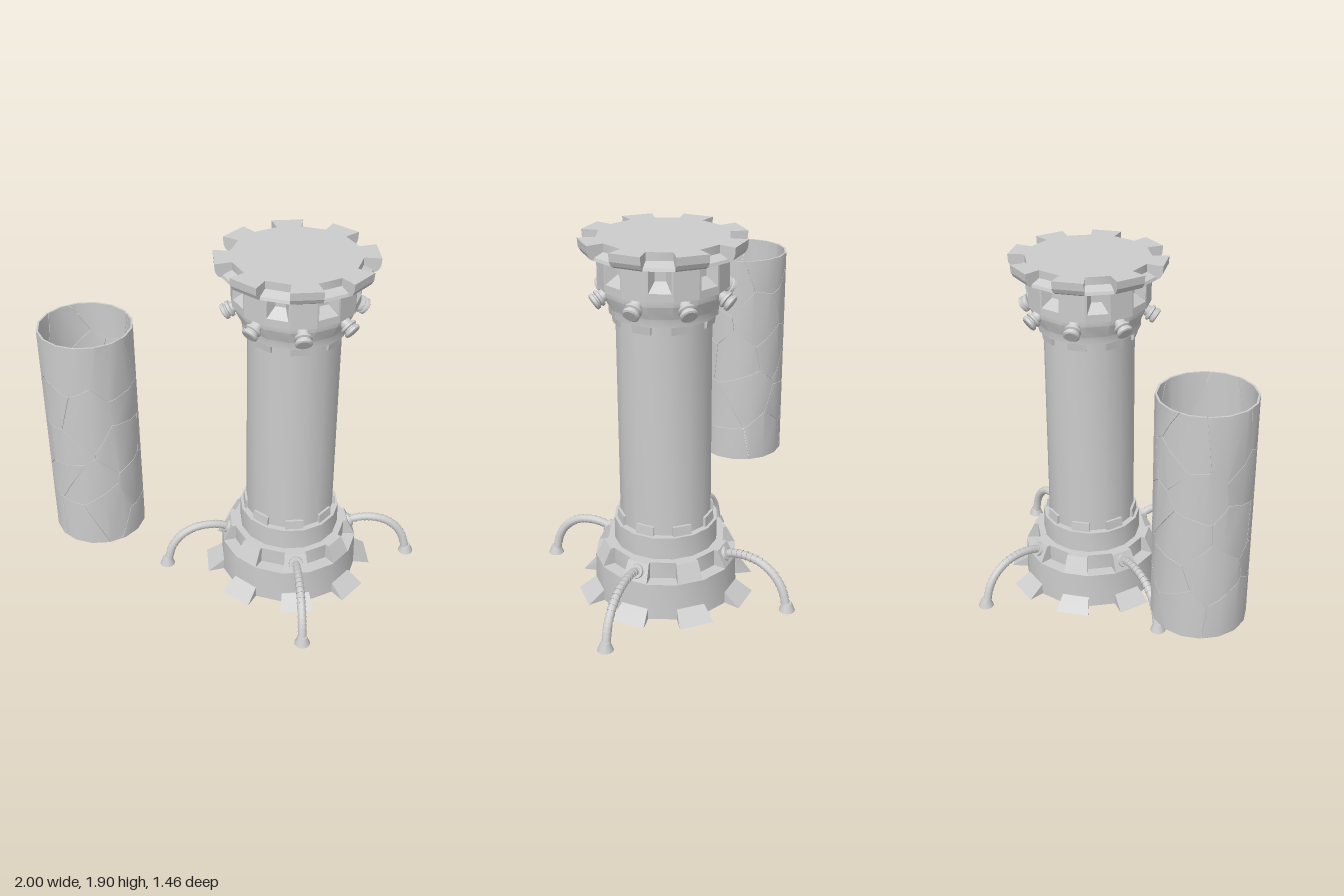
import * as THREE from 'three';
import { toCreasedNormals, mergeGeometries } from 'three/addons/utils/BufferGeometryUtils.js';

const SIDES = 16, STEP = Math.PI * 2 / SIDES, TAN = Math.tan(STEP / 2), COS = Math.cos(STEP / 2);
const mat = new THREE.MeshStandardMaterial({ color: 0xcccccc });
const matDouble = new THREE.MeshStandardMaterial({ color: 0xcccccc, side: THREE.DoubleSide });

function add(parent, name, geo, material = mat) {
  const mesh = new THREE.Mesh(geo, material);
  mesh.name = name;
  parent.add(mesh);
  return mesh;
}

// 16-sided turned body; radii are measured to the middle of the flats
function turned(points) {
  const pts = points.map(([r, y]) => new THREE.Vector2(r / COS, y));
  return toCreasedNormals(new THREE.LatheGeometry(pts, SIDES, STEP / 2), 0.5);
}

// Block with a radius/height profile whose width grows with the radius
function wedge(profile, ratio = TAN) {
  const shape = new THREE.Shape(profile.map(p => new THREE.Vector2(p[0], p[1])));
  const geo = new THREE.ExtrudeGeometry(shape, { depth: 2, bevelEnabled: false }).translate(0, 0, -1);
  const p = geo.attributes.position;
  for (let i = 0; i < p.count; i++) p.setZ(i, p.getZ(i) * p.getX(i) * ratio);
  geo.computeVertexNormals();
  return geo;
}

// Outward panel of nested rectangles [radius, halfWidth, bottom, top], closed at the last
function panel(rects) {
  const v = [];
  const rings = rects.map(([r, w, a, b]) => [[r, a, w], [r, a, -w], [r, b, -w], [r, b, w]]);
  const quad = (a, b, c, d) => v.push(...a, ...b, ...c, ...a, ...c, ...d);
  for (let i = 0; i + 1 < rings.length; i++) {
    for (let k = 0; k < 4; k++) {
      const n = (k + 1) % 4;
      quad(rings[i][k], rings[i][n], rings[i + 1][n], rings[i + 1][k]);
    }
  }
  quad(...rings[rings.length - 1]);
  const geo = new THREE.BufferGeometry();
  geo.setAttribute('position', new THREE.Float32BufferAttribute(v, 3));
  geo.computeVertexNormals();
  return geo;
}

// Repeats a geometry around the tower axis
function around(parent, name, geo, count = 8, start = 0) {
  for (let i = 0; i < count; i++) {
    add(parent, name, geo).rotation.y = start + i * Math.PI * 2 / count;
  }
}

// Keeps the part of a convex polygon where a*u + b*v <= c
function clip(poly, a, b, c) {
  const out = [];
  poly.forEach((p, i) => {
    const q = poly[(i + 1) % poly.length];
    const dp = a * p[0] + b * p[1] - c, dq = a * q[0] + b * q[1] - c;
    if (dp <= 0) out.push(p);
    if ((dp < 0 && dq > 0) || (dp > 0 && dq < 0)) {
      const t = dp / (dp - dq);
      out.push([p[0] + (q[0] - p[0]) * t, p[1] + (q[1] - p[1]) * t]);
    }
  });
  return out;
}

// Hollow cylinder broken into irregular shards with hairline gaps
function crackedShell(outer, inner, y0, y1) {
  let seed = 7;
  const rnd = () => (seed = (seed * 16807) % 2147483647) / 2147483647;
  const facet = 2 * outer * TAN, round = facet * SIDES, cols = 6, rows = 5, gap = 0.0012;
  const sites = [];
  for (let r = 0; r < rows; r++) for (let c = 0; c < cols; c++) {
    sites.push([(c + 0.5 * (r % 2) + 0.1 + 0.8 * rnd()) * round / cols,
      y0 + (r + 0.1 + 0.8 * rnd()) * (y1 - y0) / rows]);
  }
  const all = [-round, 0, round].flatMap(s => sites.map(p => [p[0] + s, p[1]]));
  const group = new THREE.Group();
  group.name = 'crackedShell';
  for (const s of sites) {
    let cell = [[s[0] - round / 2, y0], [s[0] + round / 2, y0], [s[0] + round / 2, y1], [s[0] - round / 2, y1]];
    for (const o of all) {
      const du = o[0] - s[0], dv = o[1] - s[1], d = Math.hypot(du, dv);
      if (d < 1e-6) continue;
      cell = clip(cell, du / d, dv / d, (du * (s[0] + o[0]) + dv * (s[1] + o[1])) / (2 * d) - gap);
    }
    const v = [];
    for (let k = -SIDES; k < SIDES * 2; k++) {
      const mid = k * facet;
      const strip = clip(clip(cell, 1, 0, mid + facet / 2), -1, 0, facet / 2 - mid);
      if (strip.length < 3) continue;
      const sn = Math.sin(k * STEP), cs = Math.cos(k * STEP);
      const at = (p, r) => {
        const t = (p[0] - mid) * r / outer;
        return [sn * r + cs * t, p[1], cs * r - sn * t];
      };
      const seam = p => Math.abs(Math.abs(p[0] - mid) - facet / 2) < 1e-6;
      const O = strip.map(p => at(p, outer)), I = strip.map(p => at(p, inner));
      strip.forEach((p, i) => {
        const n = (i + 1) % strip.length;
        if (i > 0 && n > 0) v.push(...O[0], ...O[i], ...O[n], ...I[0], ...I[n], ...I[i]);
        if (seam(p) && seam(strip[n]) && Math.abs(p[0] - strip[n][0]) < 1e-6) return;
        v.push(...O[i], ...I[i], ...I[n], ...O[i], ...I[n], ...O[n]);
      });
    }
    if (!v.length) continue;
    const geo = new THREE.BufferGeometry();
    geo.setAttribute('position', new THREE.Float32BufferAttribute(v, 3));
    add(group, 'shard', toCreasedNormals(geo, 0.5), matDouble);
  }
  return group;
}

// Ribbed hose: overlapping tapered segments along a curve, with socket and foot
function hoseGeometry() {
  const curve = new THREE.CatmullRomCurve3([[0.31, 0.235], [0.37, 0.259], [0.44, 0.266], [0.53, 0.247],
    [0.605, 0.195], [0.655, 0.12], [0.682, 0.02]].map(p => new THREE.Vector3(p[0], p[1], 0)));
  const up = new THREE.Vector3(0, 1, 0), parts = [], n = 20;
  const place = (geo, pos, dir) => parts.push(geo
    .applyQuaternion(new THREE.Quaternion().setFromUnitVectors(up, dir)).translate(pos.x, pos.y, pos.z));
  for (let i = 0; i < n; i++) {
    const t = (i + 0.5) / n;
    place(new THREE.CylinderGeometry(0.024, 0.019, 0.032, 12), curve.getPointAt(t), curve.getTangentAt(t));
  }
  place(new THREE.CylinderGeometry(0.036, 0.042, 0.035, 12), curve.getPointAt(0.06), curve.getTangentAt(0.06));
  place(new THREE.CylinderGeometry(0.024, 0.042, 0.045, 12), new THREE.Vector3(0.687, 0.0225, 0), up);
  return mergeGeometries(parts);
}

export function createModel() {
  const model = new THREE.Group();
  const tower = new THREE.Group();
  tower.name = 'tower';
  tower.position.x = 0.268;
  model.add(tower);

  // Base drum, stepped ring, column and flared neck
  add(tower, 'base', turned([[0, 0], [0.37, 0], [0.366, 0.2], [0.3, 0.2], [0.3, 0.29], [0.265, 0.29],
    [0.265, 0.41], [0.233, 0.41]]));
  add(tower, 'column', turned([[0.233, 0.41], [0.233, 1.53]]));
  add(tower, 'neck', turned([[0.233, 1.53], [0.263, 1.53], [0.265, 1.57], [0.3, 1.64], [0.3, 1.67], [0.315, 1.67]]));

  // Sloped feet and the blocks around the base
  around(tower, 'foot', wedge([[0.34, 0], [0.457, 0], [0.372, 0.06], [0.34, 0.06]]));
  around(tower, 'baseBlock', wedge([[0.28, 0.2], [0.366, 0.2], [0.322, 0.29], [0.28, 0.29]], 0.18));

  // Small teeth gripping both ends of the column
  around(tower, 'lowerTooth', wedge([[0.22, 0.41], [0.25, 0.41], [0.246, 0.46], [0.22, 0.46]]));
  around(tower, 'upperTooth', wedge([[0.22, 1.485], [0.246, 1.485], [0.252, 1.53], [0.22, 1.53]]));

  // Head drum: plain facets alternating with funnel-shaped windows
  const w = 0.315 * TAN;
  around(tower, 'headWall', panel([[0.315, w, 1.67, 1.83]]));
  around(tower, 'headWindow', panel([[0.315, w, 1.67, 1.83], [0.315, 0.053, 1.71, 1.815],
    [0.265, 0.026, 1.755, 1.8]]), 8, STEP);

  // Cap with overhanging merlons and sloped ledges in the notches
  add(tower, 'cap', turned([[0.3, 1.83], [0.315, 1.83], [0.315, 1.905], [0, 1.905]]));
  around(tower, 'merlon', wedge([[0.3, 1.83], [0.365, 1.83], [0.385, 1.842], [0.397, 1.865], [0.4, 1.905], [0.3, 1.905]]));
  around(tower, 'notchLedge', wedge([[0.3, 1.83], [0.365, 1.83], [0.36, 1.845], [0.315, 1.865], [0.3, 1.865]]), 8, STEP);

  // Knobs pointing outward and down
  const profile = [[0, -0.05], [0.03, -0.05], [0.03, 0.01], [0.042, 0.014], [0.044, 0.026], [0.034, 0.031],
    [0.034, 0.037], [0.042, 0.041], [0.042, 0.055], [0.034, 0.06], [0, 0.06]];
  const knob = toCreasedNormals(new THREE.LatheGeometry(profile.map(p => new THREE.Vector2(...p)), 14), 0.55);
  knob.rotateZ(-Math.PI / 2 - 0.55).translate(0.305, 1.637, 0);
  around(tower, 'knob', knob);

  // Four hoses reaching the ground
  around(tower, 'hose', hoseGeometry(), 4);

  // Separate cracked sleeve beside the tower
  const shell = crackedShell(0.233, 0.223, 0.37, 1.565);
  shell.position.x = -0.767;
  model.add(shell);
  return model;
}
